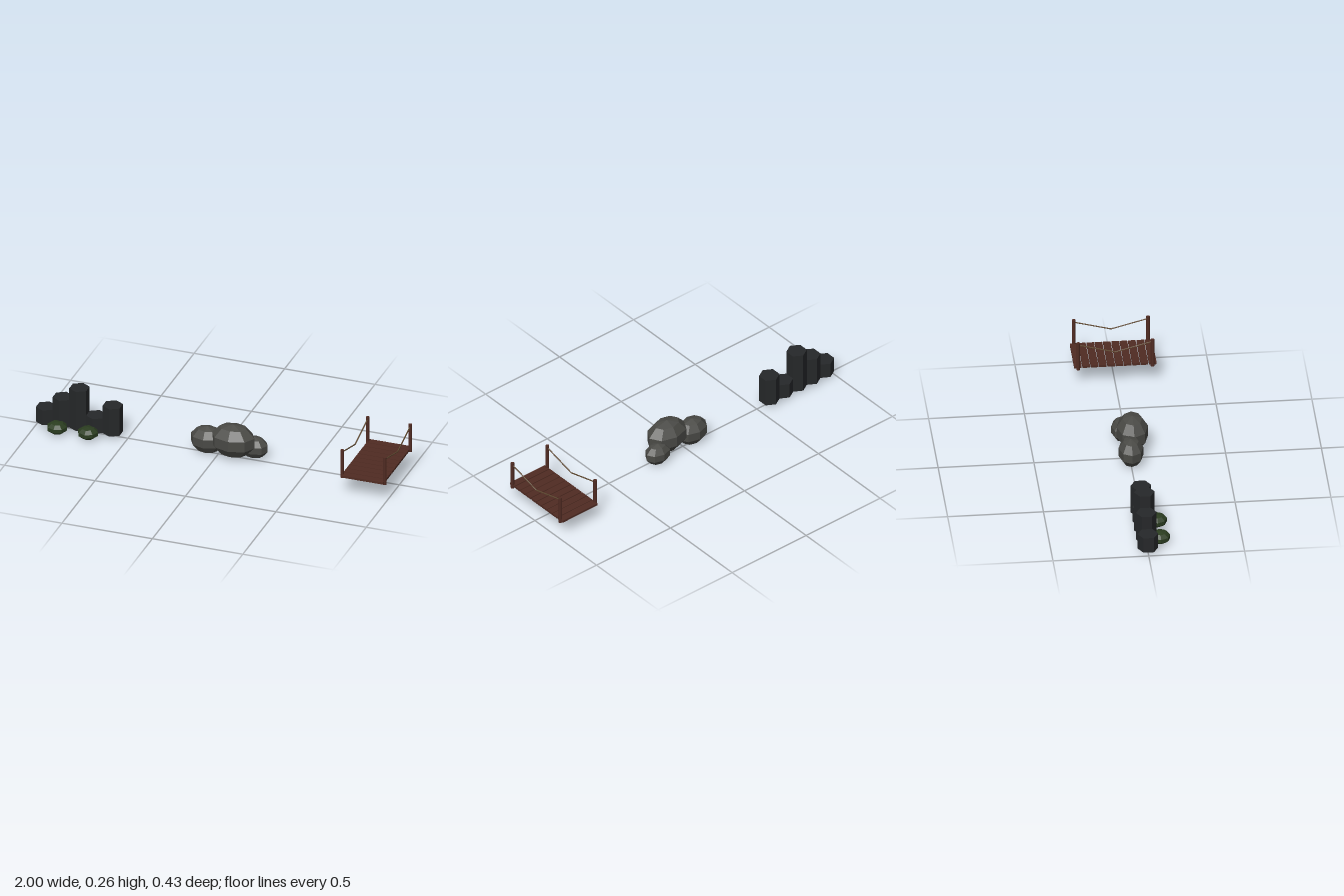
import * as THREE from 'three';

function material(name, color) {
  const m = new THREE.MeshStandardMaterial({ color });
  m.name = name;
  return m;
}

// Flat-faced copy of a geometry
function faceted(geometry) {
  const g = geometry.toNonIndexed();
  g.computeVertexNormals();
  return g;
}

function add(parent, name, geometry, mat, x, y, z) {
  const mesh = new THREE.Mesh(geometry, mat);
  mesh.name = name;
  mesh.position.set(x, y, z);
  parent.add(mesh);
  return mesh;
}

// Faceted ellipsoid used for boulders and bushes
function blob(parent, name, mat, [x, y, z], [rx, ry, rz]) {
  const g = new THREE.SphereGeometry(1, 8, 5);
  g.scale(rx, ry, rz);
  return add(parent, name, faceted(g), mat, x, y, z);
}

function group(parent, name) {
  const g = new THREE.Group();
  g.name = name;
  parent.add(g);
  return g;
}

export function createModel() {
  const model = new THREE.Group();
  model.name = 'landscapeProps';

  const basalt = material('basalt', 0x26282a);
  const stone = material('stone', 0x4a4a46);
  const moss = material('moss', 0x2b3d20);
  const wood = material('wood', 0x502b22);
  const rope = material('rope', 0x5e4830);

  // Row of hexagonal stone columns
  const columns = group(model, 'basaltColumns');
  const base = 0.024;
  [0.11, 0.184, 0.253, 0.11, 0.184].forEach((top, i) => {
    const h = top - base;
    add(columns, 'column', faceted(new THREE.CylinderGeometry(0.054, 0.054, h, 6)), basalt,
      -0.953 + i * 0.0922, base + h / 2, 0);
  });

  // Low bushes in front of the columns
  for (const x of [-0.866, -0.695]) {
    blob(columns, 'bush', moss, [x, 0.037, 0.072], [0.057, 0.033, 0.056]);
  }

  // Cluster of three boulders
  const rocks = group(model, 'boulders');
  blob(rocks, 'largeBoulder', stone, [0.09, 0.111, 0.022], [0.124, 0.093, 0.087]);
  blob(rocks, 'leftBoulder', stone, [-0.062, 0.079, 0], [0.094, 0.076, 0.068]);
  blob(rocks, 'smallBoulder', stone, [0.19, 0.066, -0.025], [0.077, 0.061, 0.056]);

  // Plank bridge
  const bridge = group(model, 'bridge');
  const midX = 0.8725, side = 0.1175, endZ = 0.194;
  for (let i = 0; i < 10; i++) {
    add(bridge, 'plank', new THREE.BoxGeometry(0.235, 0.012, 0.039), wood,
      midX, 0.115, (i - 4.5) * 0.0434);
  }

  // Corner posts and sagging hand ropes
  const up = new THREE.Vector3(0, 1, 0);
  for (const sx of [-1, 1]) {
    const x = midX + sx * side;
    for (const sz of [-1, 1]) {
      add(bridge, 'post', faceted(new THREE.CylinderGeometry(0.01, 0.01, 0.16, 8)), wood,
        x, 0.181, sz * endZ);
      const from = new THREE.Vector3(x, 0.196, 0);
      const to = new THREE.Vector3(x, 0.248, sz * endZ);
      const dir = to.clone().sub(from);
      const mid = from.clone().add(to).multiplyScalar(0.5);
      const line = add(bridge, 'handRope',
        faceted(new THREE.CylinderGeometry(0.0035, 0.0035, dir.length(), 6)), rope, mid.x, mid.y, mid.z);
      line.quaternion.setFromUnitVectors(up, dir.normalize());
    }
  }

  return model;
}
